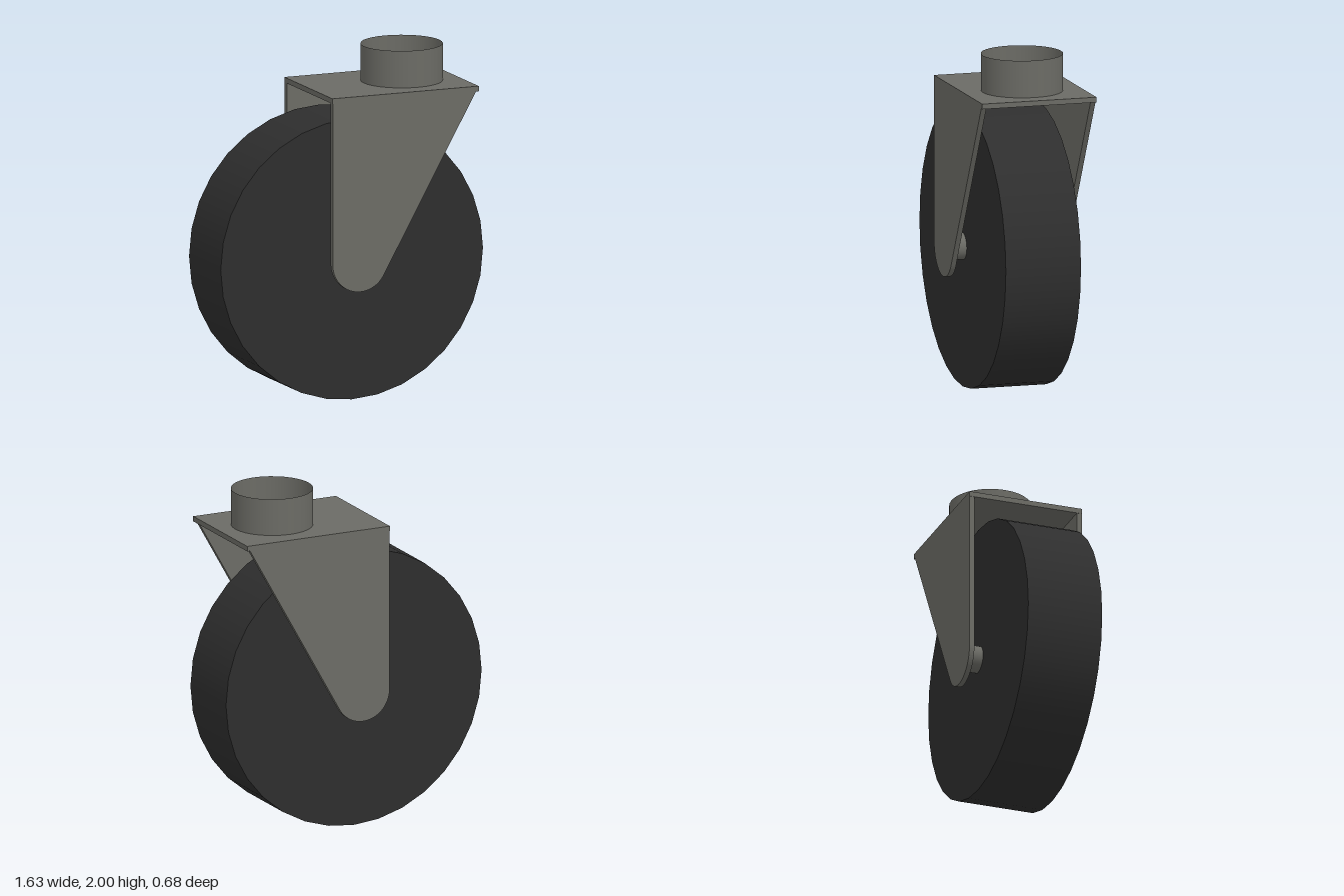
import * as THREE from 'three';

export function createModel() {
  const model = new THREE.Group();
  const rubber = new THREE.MeshStandardMaterial({ name: 'black rubber', color: 0x2e2e2e });
  const metal = new THREE.MeshStandardMaterial({ name: 'grey metal', color: 0x6b6b65 });
  const tubeMetal = metal.clone();
  tubeMetal.side = THREE.DoubleSide;

  const add = (name, geometry, material, x, y, z) => {
    const mesh = new THREE.Mesh(geometry, material);
    mesh.name = name;
    mesh.position.set(x, y, z);
    model.add(mesh);
    return mesh;
  };

  const axleY = 0.817, plateTop = 1.785, thick = 0.03, halfDepth = 0.342, r = 0.17;

  // Wheel and the axle through it
  add('wheel', new THREE.CylinderGeometry(0.817, 0.817, 0.45, 32).rotateX(Math.PI / 2), rubber, 0, axleY, 0);
  add('axle', new THREE.CylinderGeometry(0.078, 0.078, 0.64, 32).rotateX(Math.PI / 2), metal, 0, axleY, 0);

  // Fork cheeks: straight rear edge, round foot, slanted front edge tangent to the foot
  const top = plateTop - thick - axleY, lip = 0.722;
  const tangent = Math.atan2(top, lip) - Math.acos(r / Math.hypot(lip, top));
  const outline = new THREE.Shape();
  outline.moveTo(lip, top);
  outline.lineTo(-r, top);
  outline.lineTo(-r, 0);
  outline.absarc(0, 0, r, Math.PI, Math.PI * 2 + tangent, false);
  outline.closePath();
  const cheek = new THREE.ExtrudeGeometry(outline, { depth: thick, bevelEnabled: false, curveSegments: 16 });
  add('frontForkPlate', cheek, metal, 0, axleY, halfDepth - thick);
  add('backForkPlate', cheek, metal, 0, axleY, -halfDepth);

  // Top plate
  add('topPlate', new THREE.BoxGeometry(0.912, thick, halfDepth * 2), metal, 0.284, plateTop - thick / 2, 0);

  // Open swivel socket
  const height = 2 - plateTop;
  add('swivelSocket', new THREE.CylinderGeometry(0.235, 0.235, height, 32, 1, true), tubeMetal, 0.409, plateTop + height / 2, 0);

  return model;
}
